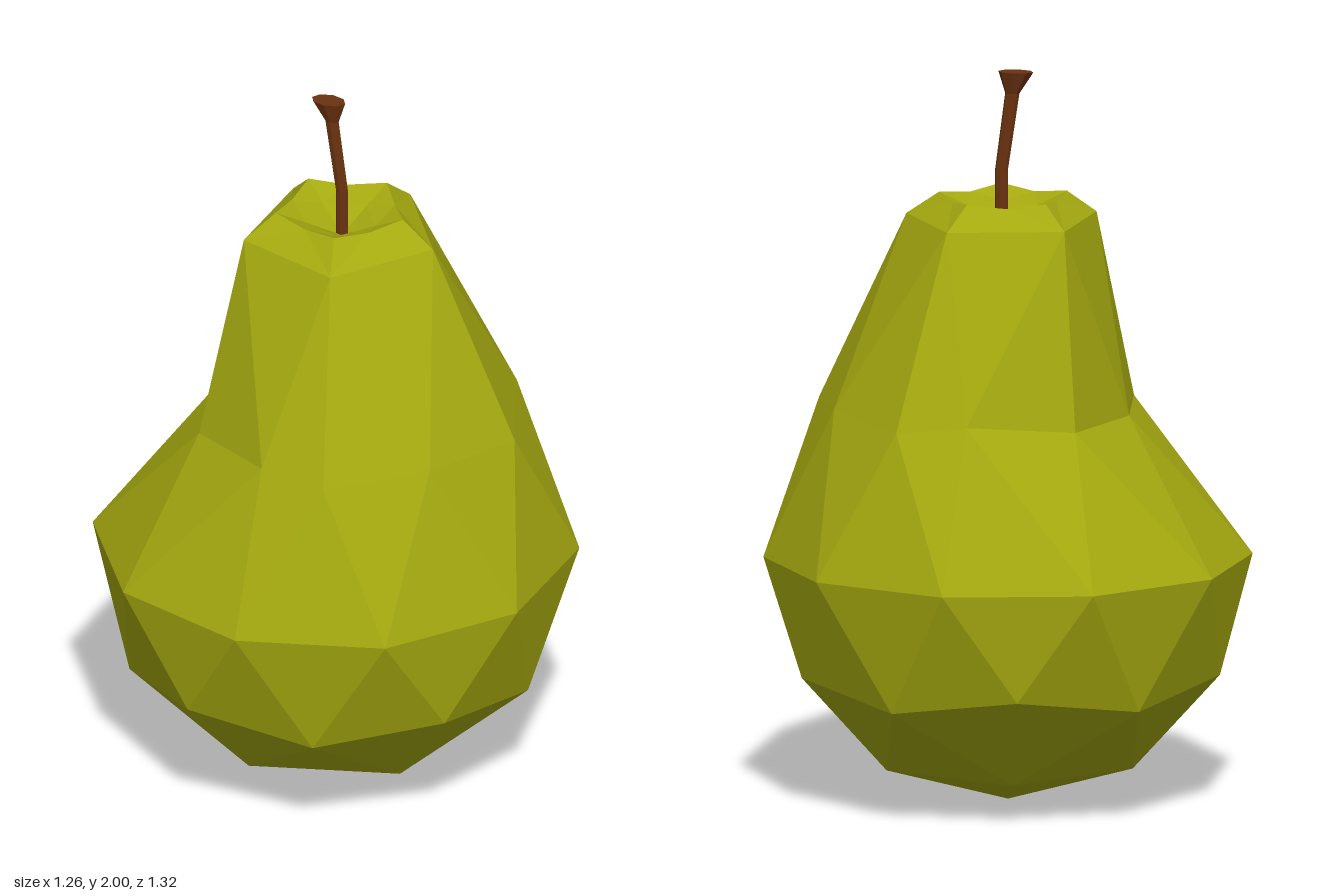
import * as THREE from 'three';

const RAD = Math.PI / 180;

// Ring of n points, starting at a phase angle in degrees
function ring(n, phase, y, rx, rz = rx, cx = 0, cz = 0) {
  const points = [];
  for (let i = 0; i < n; i++) {
    const a = (phase + (i * 360) / n) * RAD;
    points.push([cx + rx * Math.cos(a), y, cz + rz * Math.sin(a)]);
  }
  return { points, phase };
}

// Ten points whose even and odd members have their own [height, radius]
function zigzag(even, odd) {
  const points = [];
  for (let i = 0; i < 10; i++) {
    const [y, r] = i % 2 ? odd : even;
    points.push([r * Math.cos(i * 36 * RAD), y, r * Math.sin(i * 36 * RAD)]);
  }
  return { points, phase: 0 };
}

// Faceted skin through rings from bottom to top; rings may differ in point count
function skin(rings) {
  const pos = [];
  for (let k = 0; k + 1 < rings.length; k++) {
    const a = rings[k], b = rings[k + 1];
    const na = a.points.length, nb = b.points.length;
    const endA = na > 1 ? na : 0, endB = nb > 1 ? nb : 0;
    let i = 0, j = 0;
    while (i < endA || j < endB) {
      const midA = i < endA ? a.phase + ((i + 0.5) * 360) / na : Infinity;
      const midB = j < endB ? b.phase + ((j + 0.5) * 360) / nb : Infinity;
      const p = a.points[i % na], q = b.points[j % nb];
      if (midA < midB) pos.push(...p, ...q, ...a.points[++i % na]);
      else pos.push(...p, ...q, ...b.points[++j % nb]);
    }
  }
  const geometry = new THREE.BufferGeometry();
  geometry.setAttribute('position', new THREE.Float32BufferAttribute(pos, 3));
  geometry.computeVertexNormals();
  return geometry;
}

export function createModel() {
  const group = new THREE.Group();
  group.name = 'pear';

  const skinGreen = new THREE.MeshStandardMaterial({ color: 0xa5a90f, flatShading: true });
  skinGreen.name = 'pear green';
  const stemBrown = new THREE.MeshStandardMaterial({ color: 0x6b3210, flatShading: true });
  stemBrown.name = 'stem brown';

  // Neck base, pinched in on the right side
  const neckBase = {
    phase: 0,
    points: [
      [0.53, 1.08, 0], [0.41, 1.1, 0.29], [0.18, 1.08, 0.48], [-0.01, 1.1, 0.465],
      [-0.27, 1.07, 0.3], [-0.34, 1.07, 0], [-0.27, 1.07, -0.29], [-0.01, 1.1, -0.455],
      [0.18, 1.08, -0.48], [0.41, 1.1, -0.28],
    ],
  };

  // Shoulder and rim: five corners, the rim sagging slightly between them
  const shoulder = ring(5, 0, 1.6, 0.27, 0.275, 0.01, -0.018);
  const rim = { phase: 0, points: [] };
  const corners = ring(5, 0, 1.665, 0.182, 0.182, 0.003, -0.03).points;
  corners.forEach((c, i) => {
    const n = corners[(i + 1) % 5];
    rim.points.push(c, [(c[0] + n[0]) / 2, 1.653, (c[2] + n[2]) / 2]);
  });

  const body = new THREE.Mesh(skin([
    ring(1, 0, 0, 0),
    ring(5, 36, 0.1, 0.35),
    zigzag([0.32, 0.57], [0.37, 0.595]),
    ring(10, 18, 0.67, 0.662),
    neckBase,
    shoulder,
    rim,
    // Dimple around the stem
    ring(5, 0, 1.63, 0.1, 0.1, 0.005, -0.025),
    ring(5, 0, 1.61, 0.05, 0.05, 0.01, -0.015),
    ring(1, 0, 1.595, 0, 0, 0.015, -0.005),
  ]), skinGreen);
  body.name = 'body';
  group.add(body);

  // Bent stem with a flared, flat tip
  const stem = new THREE.Mesh(skin([
    ring(8, 0, 1.59, 0.018, 0.012, 0.018),
    ring(8, 0, 1.73, 0.018, 0.012, 0.018),
    ring(8, 0, 1.94, 0.02, 0.013, -0.012),
    ring(8, 0, 2, 0.049, 0.032, -0.022),
    ring(1, 0, 2, 0, 0, -0.022),
  ]), stemBrown);
  stem.name = 'stem';
  group.add(stem);

  return group;
}
